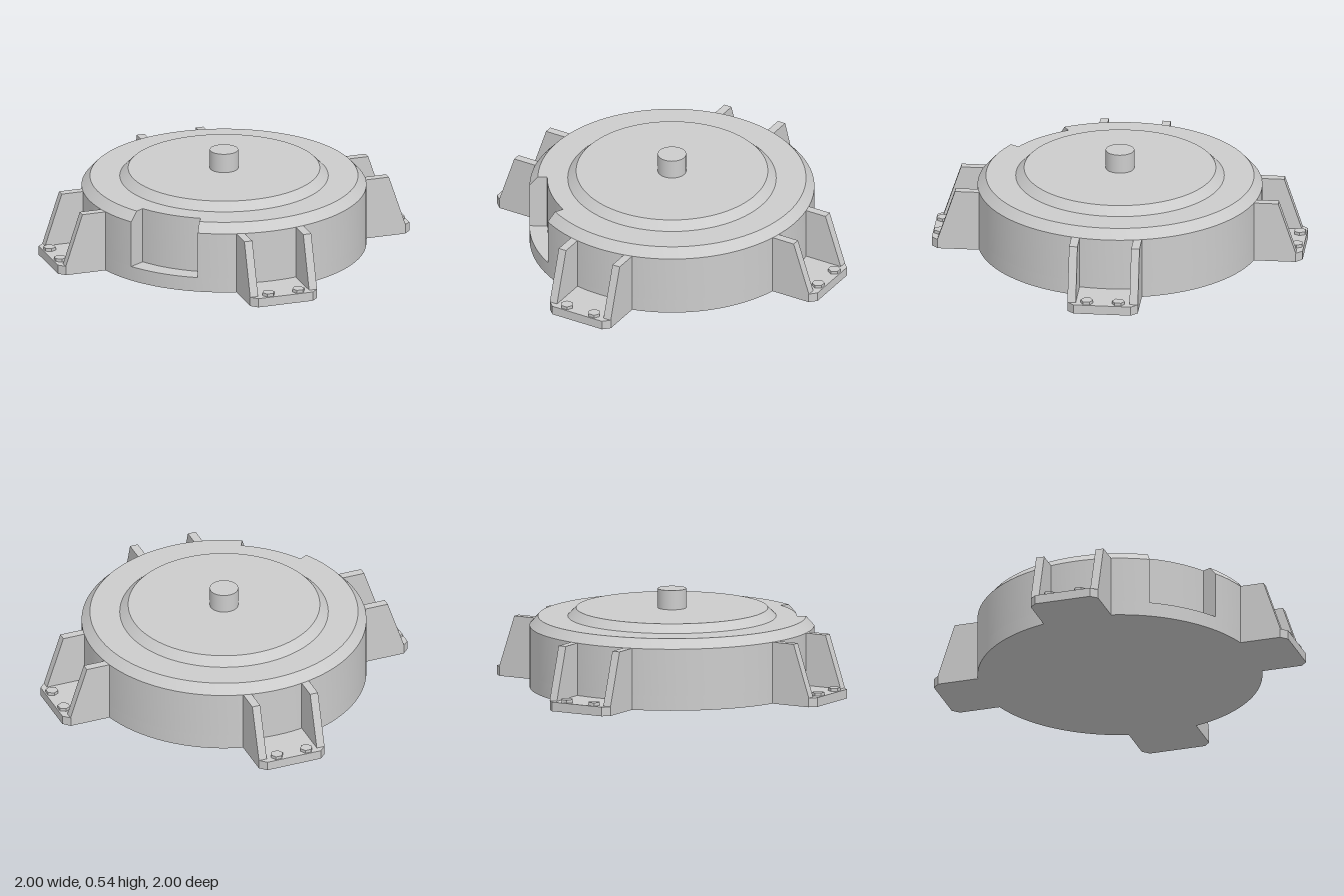
import * as THREE from 'three';
import { toCreasedNormals } from 'three/addons/utils/BufferGeometryUtils.js';

const grey = new THREE.MeshStandardMaterial({ color: 0xcccccc });
const greyThin = new THREE.MeshStandardMaterial({ color: 0xcccccc, side: THREE.DoubleSide });
const rad = THREE.MathUtils.degToRad;
const vecs = (pts) => pts.map(([x, y]) => new THREE.Vector2(x, y));

function part(name, geometry, material = grey) {
  const mesh = new THREE.Mesh(geometry, material);
  mesh.name = name;
  return mesh;
}

// Turned surface, optionally only a sector of it (degrees)
function turned(name, pts, start = 0, sweep = 360) {
  const segments = Math.ceil(sweep / 3);
  const lathe = new THREE.LatheGeometry(vecs(pts), segments, rad(start), rad(sweep));
  return part(name, toCreasedNormals(lathe, rad(25)));
}

// Flat outline extruded by depth
function slab(pts, depth) {
  return new THREE.ExtrudeGeometry(new THREE.Shape(vecs(pts)), { depth, bevelEnabled: false });
}

const R = 0.765, RIM = 0.72, INNER = 0.67, FLOOR = 0.08, SHOULDER = 0.335, TOP = 0.385;
const NOTCH_START = -60, NOTCH_END = -30;

function createHousing() {
  const g = new THREE.Group();
  g.name = 'housing';
  g.add(turned('base', [[0, 0], [R, 0], [R, FLOOR], [INNER, FLOOR]]));
  // Outer wall and bevelled rim, leaving a 30 degree notch open
  const rim = [[R, FLOOR], [R, SHOULDER], [RIM, TOP], [INNER, TOP]];
  g.add(turned('outerWall', rim, NOTCH_END, 330));
  // Back wall and side walls of the notch
  g.add(turned('notchBackWall', [[INNER, FLOOR], [INNER, TOP]], NOTCH_START, 30));
  for (const angle of [NOTCH_START, NOTCH_END]) {
    const outline = new THREE.Shape(vecs([[INNER, FLOOR], ...rim]));
    const side = part('notchSideWall', new THREE.ShapeGeometry(outline), greyThin);
    side.rotation.y = rad(angle - 90);
    g.add(side);
  }
  g.add(turned('lid', [[INNER, TOP], [0.56, TOP], [0.515, 0.43], [0, 0.43]]));
  return g;
}

// Mounting foot pointing along +x: chamfered plate, two gussets, two hex bolts
function createFoot() {
  const g = new THREE.Group();
  g.name = 'mountingFoot';
  const w = 0.19, c = 0.035, root = 0.7, plateTop = 0.05;
  const plate = part('footPlate',
    slab([[root, -w], [1 - c, -w], [1, -w + c], [1, w - c], [1 - c, w], [root, w]], plateTop));
  plate.rotation.x = -Math.PI / 2;
  g.add(plate);
  for (const s of [-1, 1]) {
    const gusset = part('gusset',
      slab([[root, plateTop], [0.967, plateTop], [0.872, SHOULDER], [root, SHOULDER]], 0.045));
    gusset.position.z = s > 0 ? 0.145 : -w;
    g.add(gusset);
    const bolt = part('bolt',
      toCreasedNormals(new THREE.CylinderGeometry(0.034, 0.034, 0.017, 6), rad(25)));
    bolt.position.set(0.963, plateTop + 0.0085, s * 0.085);
    g.add(bolt);
  }
  return g;
}

export function createModel() {
  const model = new THREE.Group();
  model.name = 'flangedHousing';
  model.add(createHousing());

  const shaft = part('shaft', new THREE.CylinderGeometry(0.077, 0.077, 0.105, 48));
  shaft.position.y = 0.4825;
  model.add(shaft);

  for (let i = 0; i < 4; i++) {
    const foot = createFoot();
    foot.rotation.y = i * Math.PI / 2;
    model.add(foot);
  }
  return model;
}
